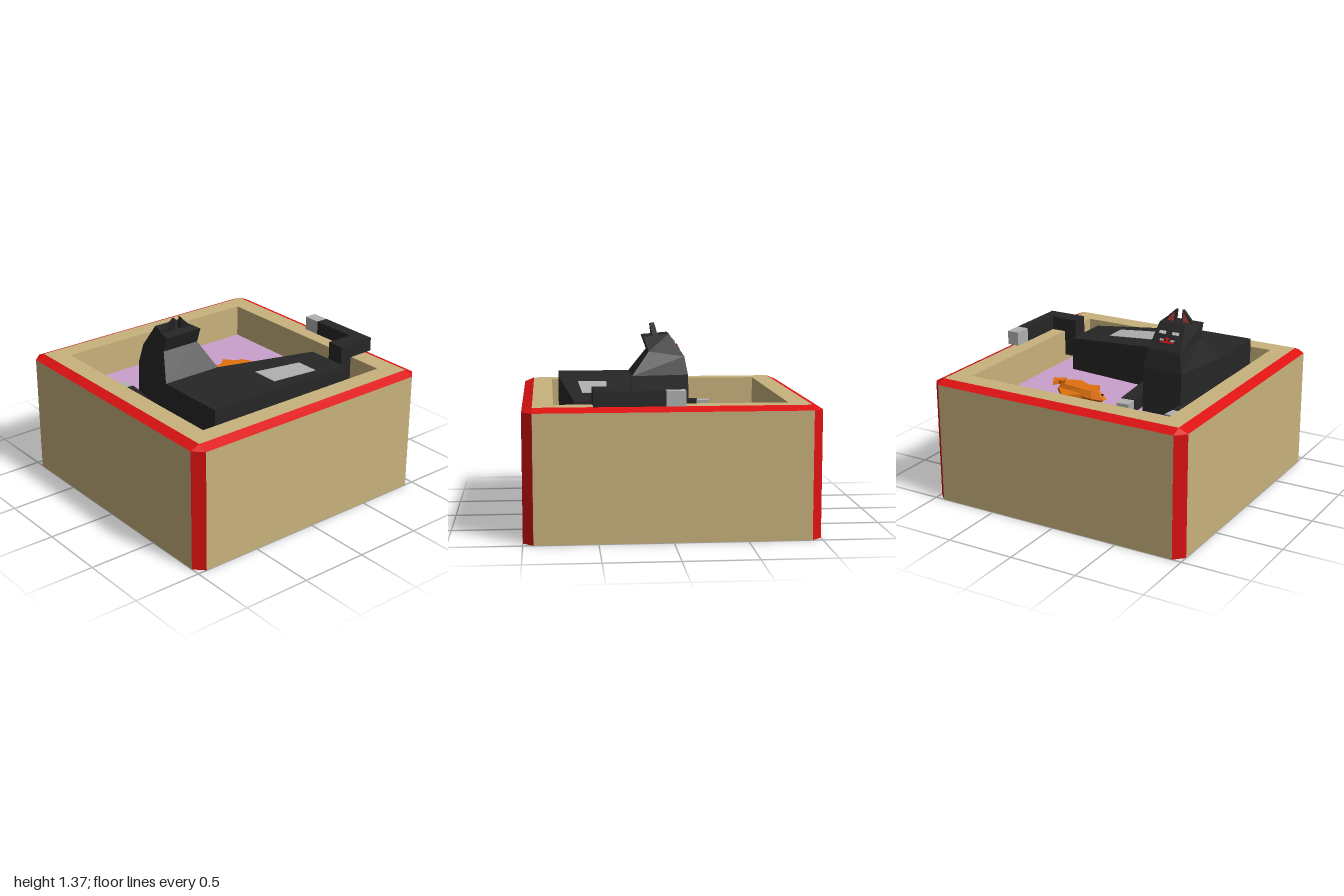
import * as THREE from 'three';

const mat = (color, side = THREE.FrontSide) => {
  const m = new THREE.MeshStandardMaterial({ flatShading: true, side });
  m.color.set(color);
  return m;
};
const tan = mat(0xc8b27c), red = mat(0xdd1111), lilac = mat(0xc9a0cb), fur = mat(0x262627);
const grey = mat(0xb0b0b0), orange = mat(0xe0710f), black = mat(0x151515), white = mat(0xe0e0e0);

const FLOOR = 0.66;

function add(parent, name, geometry, material, x = 0, y = 0, z = 0) {
  const mesh = new THREE.Mesh(geometry, material);
  mesh.name = name;
  mesh.position.set(x, y, z);
  parent.add(mesh);
  return mesh;
}

const box = (parent, name, material, x0, x1, y0, y1, z0, z1) =>
  add(parent, name, new THREE.BoxGeometry(x1 - x0, y1 - y0, z1 - z0), material,
    (x0 + x1) / 2, (y0 + y1) / 2, (z0 + z1) / 2);

// Joins rings of [x, y, z] points from bottom to top, rings counterclockwise from above
function loft(rings, capped = true) {
  const pos = [];
  const tri = (...pts) => pts.forEach((p) => pos.push(...p));
  for (let r = 0; r + 1 < rings.length; r++) {
    const lo = rings[r], hi = rings[r + 1];
    lo.forEach((a, i) => {
      const j = (i + 1) % lo.length;
      tri(a, lo[j], hi[j]);
      tri(a, hi[j], hi[i]);
    });
  }
  if (capped) {
    const lo = rings[0], hi = rings[rings.length - 1];
    const flat = (ring) => ring.map((p) => new THREE.Vector2(p[0], -p[2]));
    THREE.ShapeUtils.triangulateShape(flat(hi), []).forEach(([a, b, c]) => tri(hi[a], hi[b], hi[c]));
    THREE.ShapeUtils.triangulateShape(flat(lo), []).forEach(([a, b, c]) => tri(lo[c], lo[b], lo[a]));
  }
  const g = new THREE.BufferGeometry();
  g.setAttribute('position', new THREE.Float32BufferAttribute(pos, 3));
  g.computeVertexNormals();
  return g;
}

// Outline of [x, z] points with a constant or position-based height
const ring = (outline, y) => outline.map(([x, z]) => [x, typeof y === 'function' ? y(x, z) : y, z]);

const C = 0.93, R = 0.79;
const OCTAGON = [[1, C], [1, -C], [C, -1], [-C, -1], [-1, -C], [-1, C], [-C, 1], [C, 1]];
const RIM = OCTAGON.map(([x, z]) => [Math.sign(x) * C, Math.sign(z) * C]);
const SQUARE = [[1, 1], [1, -1], [-1, -1], [-1, 1]];

function slab(outline, y0, y1, hole) {
  const shape = new THREE.Shape(outline.map(([x, z]) => new THREE.Vector2(x, -z)));
  if (hole) shape.holes.push(new THREE.Path(SQUARE.map(([x, z]) => new THREE.Vector2(x * hole, z * hole))));
  return new THREE.ExtrudeGeometry(shape, { depth: y1 - y0, bevelEnabled: false })
    .rotateX(-Math.PI / 2).translate(0, y0, 0);
}

function makeTray() {
  const g = new THREE.Group();
  g.name = 'tray';
  add(g, 'trayBase', slab(OCTAGON, 0, FLOOR), tan);
  add(g, 'trayWall', slab(OCTAGON, FLOOR, 0.875, R), tan);
  add(g, 'trayRim', slab(SQUARE.map(([x, z]) => [x * C, z * C]), 0.875, 0.905, R), tan);
  box(g, 'trayFloor', lilac, -R, R, FLOOR - 0.01, FLOOR + 0.002, -R, R);
  add(g, 'rimBevel', loft([ring(OCTAGON, 0.875), ring(RIM, 0.905)], false), red);
  for (const [x, z] of SQUARE) {
    const strip = add(g, 'cornerStrip', new THREE.PlaneGeometry(0.099, 0.875), red, x * 0.9655, 0.4375, z * 0.9655);
    strip.rotation.y = Math.atan2(x, z);
  }
  return g;
}

function makeArm(parent, [x0, z0], [x1, z1]) {
  const g = new THREE.Group();
  const len = Math.hypot(x1 - x0, z1 - z0);
  g.name = 'arm';
  g.position.set(x0, FLOOR, z0);
  g.rotation.y = Math.atan2(x0 - x1, z0 - z1);
  box(g, 'foreleg', fur, -0.052, 0.052, 0, 0.1, 0.095 - len, 0);
  box(g, 'paw', grey, -0.047, 0.047, 0, 0.095, -len, 0.095 - len);
  parent.add(g);
}

function makeHead(parent) {
  const g = new THREE.Group();
  g.name = 'head';
  g.position.x = -0.425;
  parent.add(g);

  // Chest, neck and head: [half width, y, z] at the back and at the face
  const section = ([bw, by, bz], [fw, fy, fz]) => [[bw, by, bz], [fw, fy, fz], [-fw, fy, fz], [-bw, by, bz]];
  add(g, 'chestAndHead', loft([
    section([0.225, FLOOR, 0.2], [0.15, FLOOR, -0.235]),
    section([0.225, 0.985, 0.2], [0.15, 0.985, -0.225]),
    section([0.145, 1.16, 0.07], [0.125, 1.12, -0.2]),
    section([0.145, 1.27, 0.11], [0.1, 1.29, -0.085]),
  ]), fur);

  // Ears with red insides
  const triangle = (x0, x1, h) => new THREE.Shape([[x0, 0], [x1, 0], [x0, h]].map((p) => new THREE.Vector2(...p)));
  for (const side of [1, -1]) {
    const ear = new THREE.Group();
    ear.name = 'ear';
    ear.scale.x = side;
    ear.position.set(0, 1.27, 0);
    ear.rotation.x = 0.2;
    add(ear, 'earShell', new THREE.ExtrudeGeometry(triangle(0.025, 0.125, 0.1), { depth: 0.035, bevelEnabled: false }), fur);
    add(ear, 'earInside', new THREE.ExtrudeGeometry(triangle(0.035, 0.09, 0.07), { depth: 0.004, bevelEnabled: false }), mat(0xa03a3a), 0, 0.012, -0.003);
    g.add(ear);
  }

  // Face, laid on the sloping front of the head
  const face = new THREE.Group();
  face.name = 'face';
  face.position.set(0, 1.205, -0.1425);
  face.rotation.set(-0.594, Math.PI, 0, 'YXZ');
  for (const s of [1, -1]) {
    for (const x of [0.037, 0.064]) box(face, 'eye', white, s * x - 0.011, s * x + 0.011, 0.02, 0.042, -0.005, 0.008);
    box(face, 'cheek', grey, s * 0.042 - 0.014, s * 0.042 + 0.014, -0.03, -0.017, -0.005, 0.008);
  }
  box(face, 'mouth', red, -0.05, 0.05, -0.043, -0.032, -0.005, 0.007);
  add(face, 'nose', new THREE.CylinderGeometry(0.018, 0.018, 0.016, 3).rotateX(Math.PI / 2), red, 0, -0.015, 0.003);
  g.add(face);
}

function makeCat() {
  const g = new THREE.Group();
  g.name = 'cat';
  const top = (x) => 0.985 - 0.0904 * Math.max(0, x + 0.2);

  // Flat rear body and the part that slopes down to the tail
  const rear = [[-0.65, 0.74], [-0.2, 0.74], [-0.2, 0.2], [-0.65, 0.2]];
  const hips = [[-0.2, 0.74], [0.63, 0.65], [0.63, 0.28], [-0.2, 0.2]];
  add(g, 'body', loft([ring(rear, FLOOR), ring(rear, top)]), fur);
  add(g, 'hips', loft([ring(hips, FLOOR), ring(hips, top)]), fur);
  const patch = [[-0.025, 0.605], [0.38, 0.585], [0.38, 0.41], [-0.025, 0.4]];
  add(g, 'backPatch', loft([ring(patch, (x) => top(x) - 0.01), ring(patch, (x) => top(x) + 0.003)]), grey);

  makeHead(g);
  makeArm(g, [-0.682, 0.19], [-0.6, -0.425]);
  makeArm(g, [-0.147, 0.2], [-0.205, -0.395]);

  // Tail climbs over the rim and turns along it
  box(g, 'tailRoot', fur, 0.62, 0.69, 0.72, 0.83, 0.4, 0.53);
  box(g, 'tailPost', fur, 0.68, 0.775, 0.72, 1.012, 0.4, 0.53);
  box(g, 'tailBend', fur, 0.775, 0.975, 0.91, 1.012, 0.4, 0.53);
  box(g, 'tail', fur, 0.885, 0.975, 0.91, 1.012, 0.05, 0.4);
  box(g, 'tailTip', grey, 0.885, 0.975, 0.91, 1.012, -0.08, 0.05);
  return g;
}

function makeFish() {
  const g = new THREE.Group();
  g.name = 'fish';
  const body = [[0.01, -0.25], [0.06, -0.2], [0.15, -0.15], [0.36, -0.1], [0.49, -0.1],
    [0.43, -0.25], [0.2, -0.29], [0.1, -0.305], [0.01, -0.29]];
  const inset = body.map(([x, z]) => [0.24 + (x - 0.24) * 0.72, -0.215 + (z + 0.215) * 0.55]);
  add(g, 'fishBody', loft([ring(inset, FLOOR), ring(body, FLOOR + 0.04), ring(inset, FLOOR + 0.085)]), orange);
  const fins = {
    backFin: [[0.2, -0.28], [0.43, -0.24], [0.39, -0.28], [0.31, -0.375]],
    bellyFin: [[0.15, -0.16], [0.18, -0.06], [0.26, -0.085], [0.28, -0.16]],
    rearFin: [[0.25, -0.13], [0.26, -0.085], [0.36, -0.03], [0.49, -0.09], [0.45, -0.15]],
    tailFin: [[0.47, -0.12], [0.495, -0.09], [0.48, -0.04], [0.57, -0.08], [0.525, -0.165], [0.505, -0.115]],
  };
  for (const [name, outline] of Object.entries(fins)) {
    add(g, name, loft([ring(outline, FLOOR + 0.025), ring(outline, FLOOR + 0.055)]), orange);
  }
  add(g, 'fishEye', new THREE.CylinderGeometry(0.012, 0.012, 0.04, 8), black, 0.05, FLOOR + 0.05, -0.25);
  return g;
}

export function createModel() {
  const model = new THREE.Group();
  model.name = 'catTray';
  model.add(makeTray(), makeCat(), makeFish());
  return model;
}
